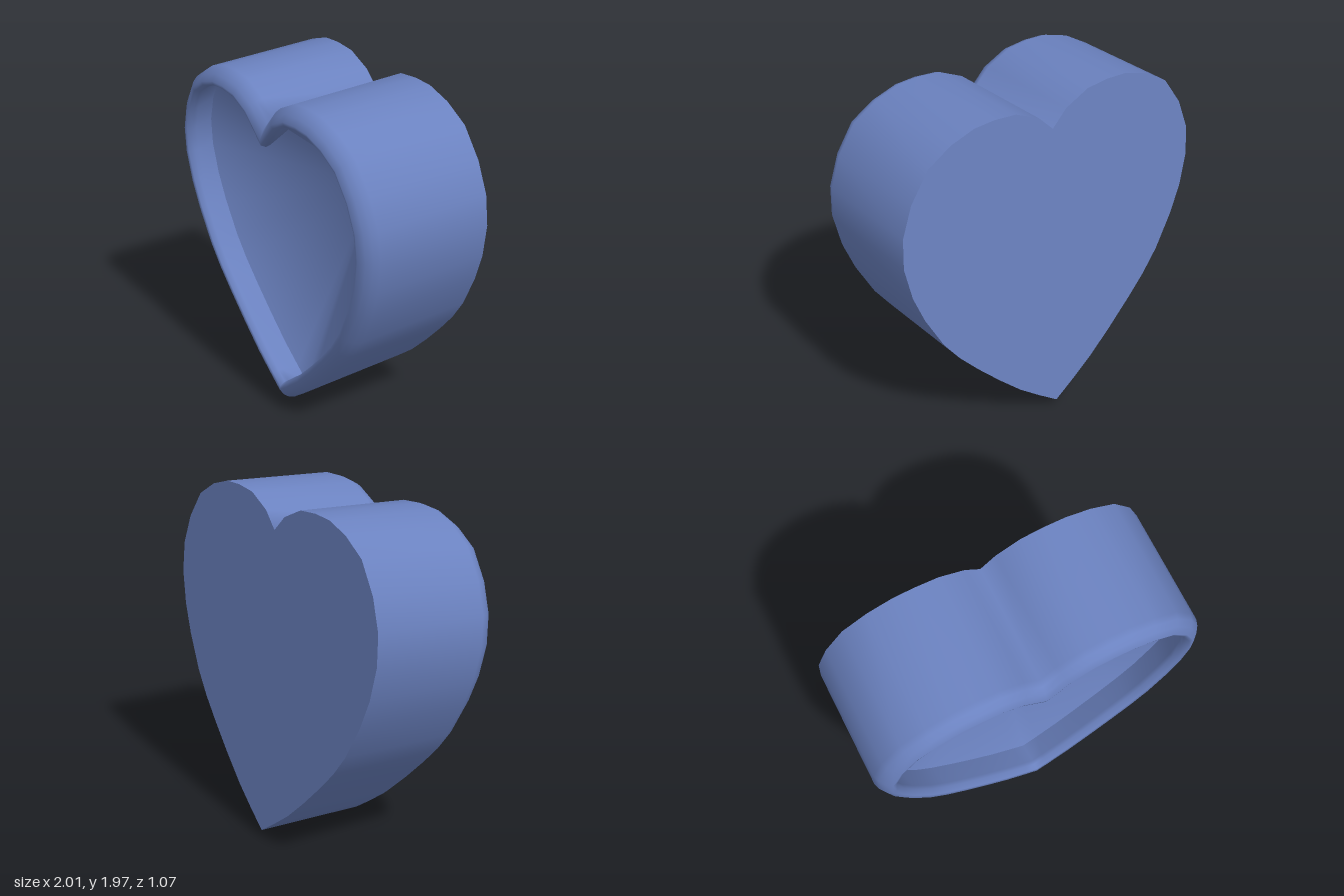
import * as THREE from 'three';

// Right half of the heart outline, from the bottom tip up to the notch
const HALF = [
  [0, 0], [0.123, 0.09], [0.257, 0.195], [0.4, 0.33], [0.542, 0.475], [0.655, 0.6], [0.752, 0.732],
  [0.858, 0.932], [0.922, 1.096], [0.962, 1.286], [0.954, 1.46], [0.893, 1.63], [0.783, 1.79],
  [0.64, 1.875], [0.495, 1.92], [0.37, 1.926], [0.235, 1.913], [0.09, 1.845], [0, 1.755],
];
const OUTLINE = [...HALF, ...HALF.slice(1, -1).reverse().map(([x, y]) => [-x, y])];
const CENTRE = [0, 1.18];

// Outline moved inward by a distance (mitred corners), at height z
function ring(inset, z) {
  const n = OUTLINE.length;
  const p = OUTLINE.map(([x, y]) => new THREE.Vector2(x, y));
  const inward = (a, b) => {
    const t = b.clone().sub(a).normalize();
    return new THREE.Vector2(-t.y, t.x);
  };
  return p.map((q, i) => {
    const n1 = inward(p[(i + n - 1) % n], q);
    const n2 = inward(q, p[(i + 1) % n]);
    const m = n1.clone().add(n2).multiplyScalar(inset / (1 + n1.dot(n2)));
    return [q.x + m.x, q.y + m.y, z];
  });
}

function build(points, index) {
  const g = new THREE.BufferGeometry();
  g.setAttribute('position', new THREE.Float32BufferAttribute(points.flat(), 3));
  g.setIndex(index);
  g.computeVertexNormals();
  return g;
}

// Skin over a stack of rings
function loft(rings) {
  const n = OUTLINE.length;
  const index = [];
  for (let i = 0; i < rings.length - 1; i++) {
    for (let j = 0; j < n; j++) {
      const k = (j + 1) % n;
      const a = i * n + j, b = i * n + k, c = a + n, d = b + n;
      index.push(a, b, d, a, d, c);
    }
  }
  return build(rings.flat(), index);
}

// Triangles from a ring to one central point
function fan(points, z, flip) {
  const n = points.length;
  const index = [];
  for (let j = 0; j < n; j++) {
    const k = (j + 1) % n;
    index.push(...(flip ? [k, j, n] : [j, k, n]));
  }
  return build([...points, [...CENTRE, z]], index);
}

export function createModel() {
  const material = new THREE.MeshStandardMaterial({ color: 0x6b82c0 });
  const heart = new THREE.Group();
  heart.name = 'heartDish';
  const add = (name, geometry) => {
    const mesh = new THREE.Mesh(geometry, material);
    mesh.name = name;
    heart.add(mesh);
  };

  // Straight side wall, rounded rim, and the undercut behind it: [inset, z]
  const profile = [
    [0, 0], [0, 0.67], [0.012, 0.705], [0.035, 0.737], [0.07, 0.762],
    [0.09, 0.757], [0.103, 0.725], [0.1, 0.7], [0.06, 0.58],
  ];
  add('wallAndRim', loft(profile.map(([inset, z]) => ring(inset, z))));

  // Hollow sloping down to a single deep point
  add('hollow', fan(ring(0.06, 0.58), 0.04, false));

  // Flat back
  add('back', fan(ring(0, 0), 0, true));

  // Lean and turn of the whole heart
  const normal = new THREE.Vector3(-0.168, -0.058, 0.984).normalize();
  const up = new THREE.Vector3(-0.02, 1, 0.056);
  const right = up.clone().cross(normal).normalize();
  up.crossVectors(normal, right);
  heart.quaternion.setFromRotationMatrix(new THREE.Matrix4().makeBasis(right, up, normal));
  heart.position.set(0.08, 0.04, -0.44);

  const model = new THREE.Group();
  model.name = 'model';
  model.add(heart);
  return model;
}
